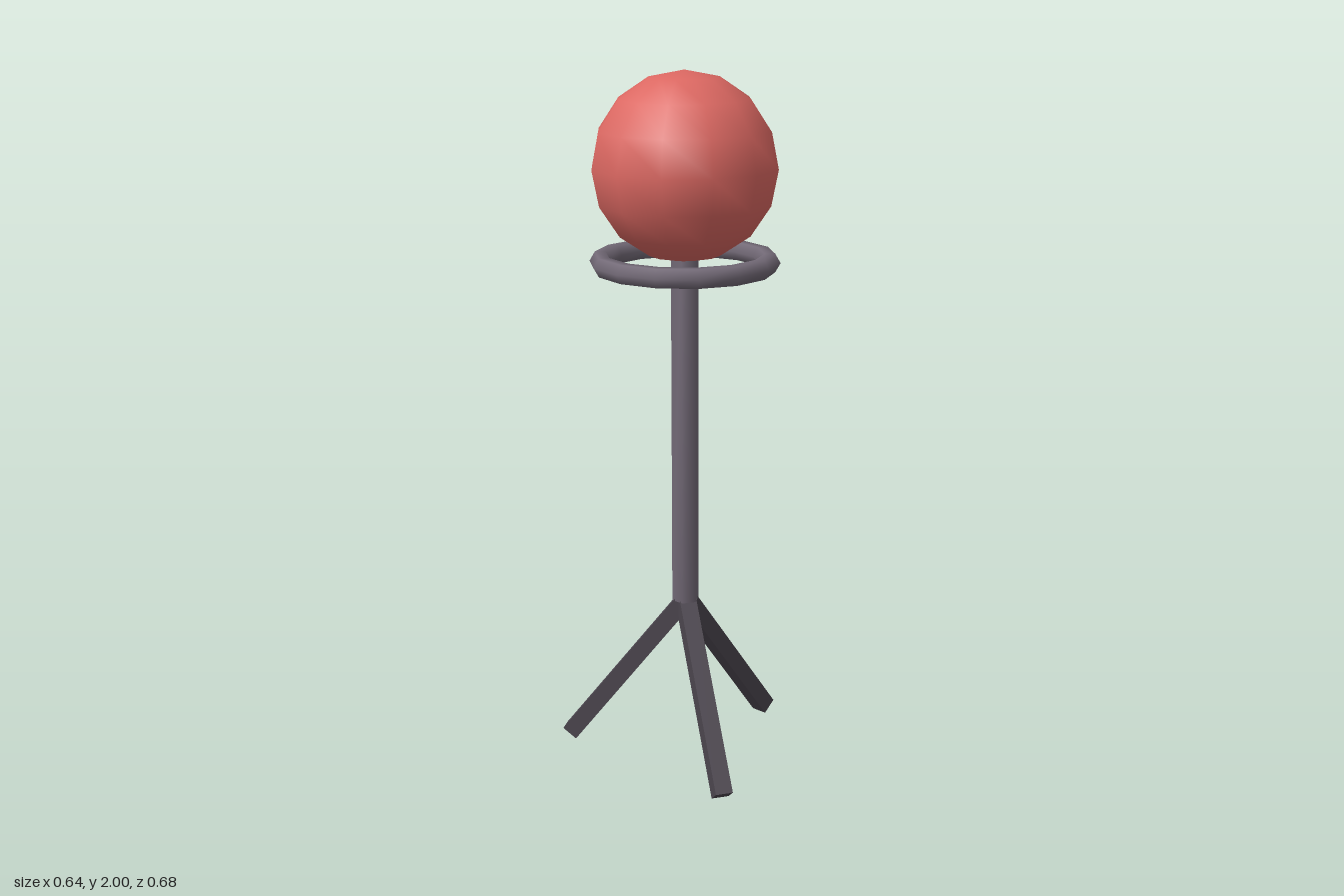
import * as THREE from 'three';
import { mergeVertices } from 'three/addons/utils/BufferGeometryUtils.js';

const material = (name, color) => {
  const m = new THREE.MeshStandardMaterial({ color });
  m.name = name;
  return m;
};

// Share normals across caps and sides for a fully smooth surface
function smooth(geometry) {
  geometry.deleteAttribute('uv');
  geometry.deleteAttribute('normal');
  const merged = mergeVertices(geometry, 1e-4);
  merged.computeVertexNormals();
  return merged;
}

export function createModel() {
  const red = material('ball red', 0xdc6862);
  const grey = material('metal grey', 0x736a77);
  const dark = material('leg dark grey', 0x4c464f);

  const model = new THREE.Group();
  model.name = 'ballStand';
  const add = (name, geometry, mat, y = 0, parent = model) => {
    const mesh = new THREE.Mesh(geometry, mat);
    mesh.name = name;
    mesh.position.y = y;
    parent.add(mesh);
    return mesh;
  };

  // The stand's axis sits left of centre, as one leg points along +x
  const stand = new THREE.Group();
  stand.name = 'stand';
  stand.position.x = -0.055;
  model.add(stand);

  // Ball resting on the pole
  add('ball', new THREE.SphereGeometry(0.262, 12, 8), red, 1.738, stand);

  // Loose ring below the ball
  const ring = new THREE.TorusGeometry(0.236, 0.03, 6, 14).rotateX(Math.PI / 2);
  add('ring', ring, grey, 1.475, stand);

  // Six-sided pole
  const bottom = 0.474, top = 1.49;
  const pole = smooth(new THREE.CylinderGeometry(0.04, 0.04, top - bottom, 6));
  add('pole', pole, grey, (top + bottom) / 2, stand);

  // Three splayed square legs, running from the pole's foot to the floor
  const reach = 0.356, drop = 0.459;
  for (let i = 0; i < 3; i++) {
    const pivot = new THREE.Group();
    pivot.name = `legPivot${i + 1}`;
    pivot.rotation.y = (i * Math.PI * 2) / 3;
    stand.add(pivot);
    const leg = add(`leg${i + 1}`, new THREE.BoxGeometry(0.05, Math.hypot(reach, drop), 0.05),
      dark, bottom - drop / 2, pivot);
    leg.position.x = reach / 2;
    leg.rotation.z = Math.atan2(reach, drop);
  }
  return model;
}
